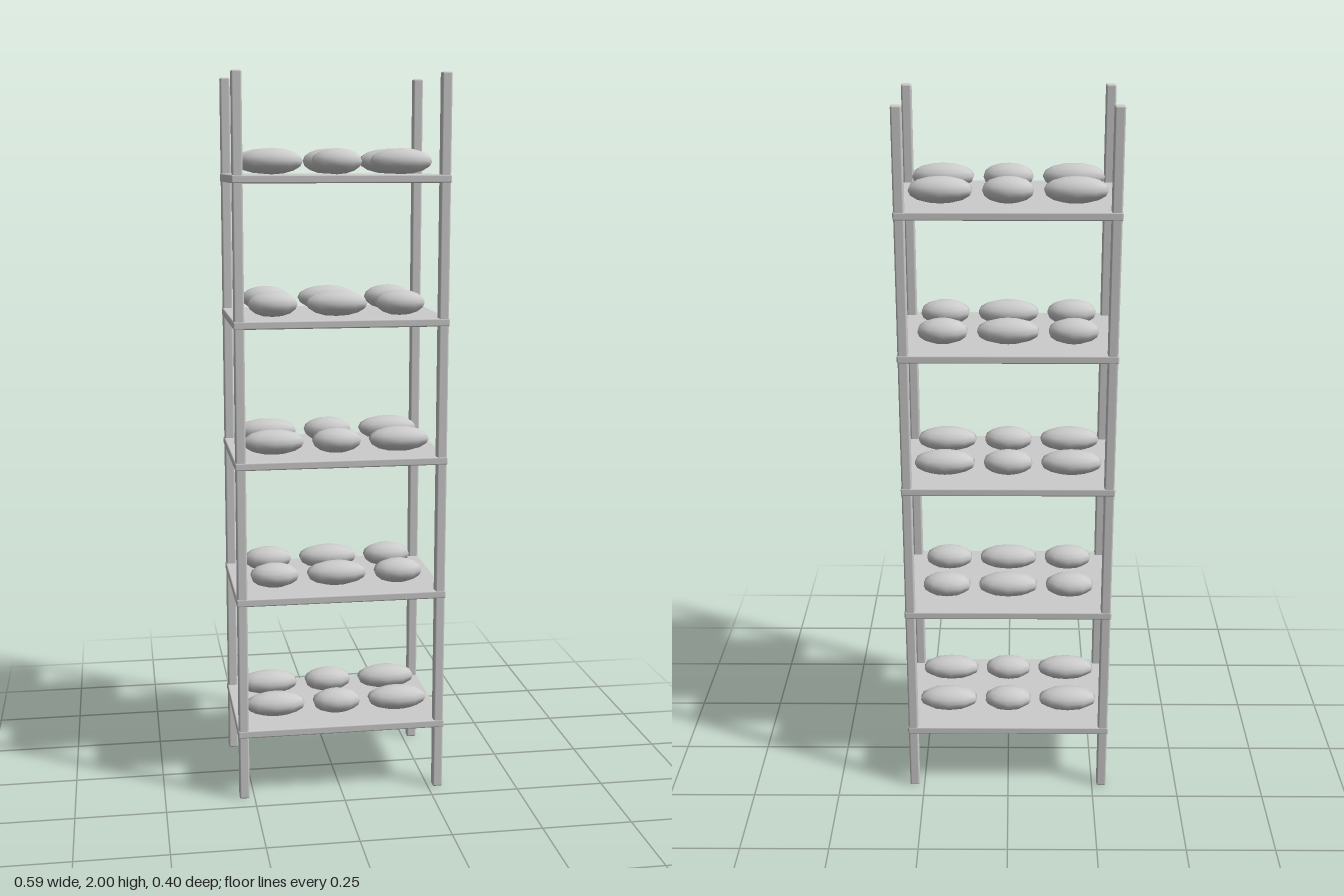
import * as THREE from 'three';
import { RoundedBoxGeometry } from 'three/addons/geometries/RoundedBoxGeometry.js';

export function createModel() {
  const model = new THREE.Group();
  model.name = 'breadRack';
  const grey = new THREE.MeshStandardMaterial({ color: 0xcccccc });
  grey.name = 'light grey';

  function add(parent, name, geometry, x, y, z) {
    const mesh = new THREE.Mesh(geometry, grey);
    mesh.name = name;
    mesh.position.set(x, y, z);
    parent.add(mesh);
    return mesh;
  }

  // Four corner posts with softened edges
  const postGeo = new RoundedBoxGeometry(0.028, 2, 0.028, 2, 0.005);
  for (const x of [-0.278, 0.278])
    for (const z of [-0.184, 0.184]) add(model, 'post', postGeo, x, 1, z);

  // Loaves: low-sided ellipsoids with blunt ends
  const loaf = (radius) =>
    new THREE.SphereGeometry(1, 10, 8).rotateY(Math.PI / 2).scale(radius, 0.035, 0.0435);
  const longLoaf = loaf(0.0877);
  const shortLoaf = loaf(0.0707);

  // Five shelves, each with two rows of three loaves
  const shelfGeo = new RoundedBoxGeometry(0.588, 0.022, 0.398, 2, 0.004);
  for (let level = 0; level < 5; level++) {
    const tier = new THREE.Group();
    tier.name = 'tier';
    tier.position.y = 0.191 + level * 0.383;
    model.add(tier);
    add(tier, 'shelf', shelfGeo, 0, 0, 0);
    for (const z of [-0.089, 0.089])
      for (let column = -1; column <= 1; column++) {
        // Long and short loaves alternate along the row and from tier to tier
        const isLong = (column + level) % 2 !== 0;
        add(tier, 'loaf', isLong ? longLoaf : shortLoaf, column * 0.177, 0.046, z);
      }
  }
  return model;
}
